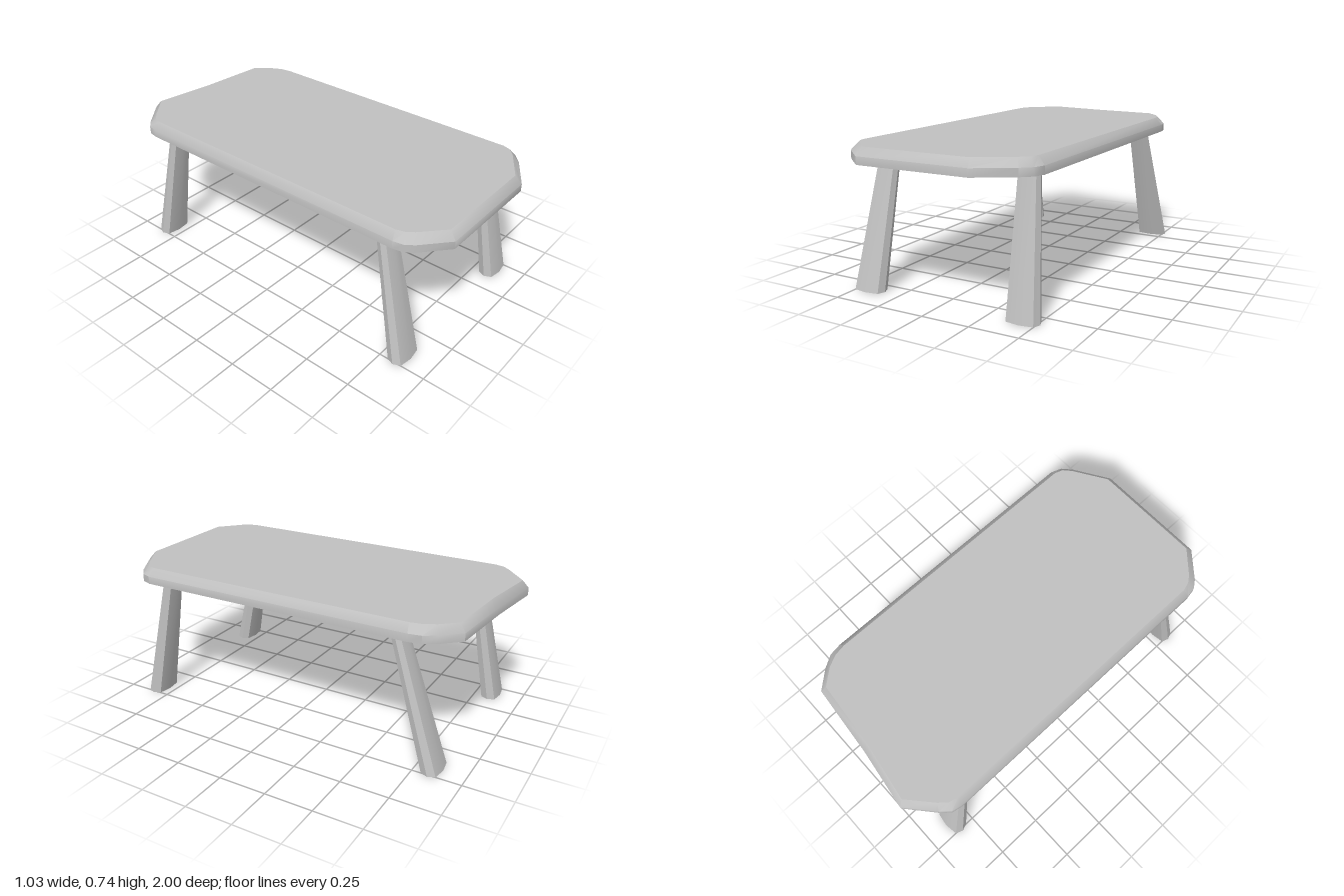
import * as THREE from 'three';
import { toCreasedNormals } from 'three/addons/utils/BufferGeometryUtils.js';

const CREASE = THREE.MathUtils.degToRad(42);

// Solid through a stack of rings (bottom to top), capped at both ends.
function loft(rings) {
  const n = rings[0].length;
  const positions = rings.flat(2);
  const index = [];
  for (let r = 0; r < rings.length - 1; r++) {
    for (let i = 0; i < n; i++) {
      const j = (i + 1) % n;
      const a = r * n + i, b = r * n + j;
      index.push(a, b, b + n, a, b + n, a + n);
    }
  }
  // Cap centres
  const ends = [rings[0], rings[rings.length - 1]];
  for (const ring of ends) {
    for (let k = 0; k < 3; k++) positions.push(ring.reduce((s, p) => s + p[k], 0) / n);
  }
  const bottom = rings.length * n, top = bottom + 1, last = (rings.length - 1) * n;
  for (let i = 0; i < n; i++) {
    const j = (i + 1) % n;
    index.push(bottom, j, i, top, last + i, last + j);
  }
  const geometry = new THREE.BufferGeometry();
  geometry.setAttribute('position', new THREE.Float32BufferAttribute(positions, 3));
  geometry.setIndex(index);
  return toCreasedNormals(geometry, CREASE);
}

export function createModel() {
  const model = new THREE.Group();
  model.name = 'lowTable';
  const grey = new THREE.MeshStandardMaterial({ color: 0xc0c0c0 });
  grey.name = 'plain grey';

  const add = (name, rings) => {
    const mesh = new THREE.Mesh(loft(rings), grey);
    mesh.name = name;
    model.add(mesh);
  };

  // Table top: irregular outline [x, z] and its inset copy above the bevel
  const outer = [
    [-0.34, 1], [0.26, 1], [0.44, 0.89], [0.49, 0.845], [0.51, 0.79],
    [0.51, -0.70], [0.5, -0.765], [0.46, -0.83], [0.38, -0.92],
    [0, -0.955], [-0.32, -1], [-0.46, -0.88], [-0.5, -0.835], [-0.51, -0.78],
    [-0.51, 0.79], [-0.5, 0.845], [-0.47, 0.885],
  ];
  const inner = [
    [-0.325, 0.965], [0.25, 0.965], [0.42, 0.86], [0.46, 0.825], [0.475, 0.78],
    [0.475, -0.69], [0.465, -0.75], [0.435, -0.81], [0.365, -0.89],
    [0, -0.922], [-0.305, -0.97], [-0.43, -0.86], [-0.465, -0.82], [-0.478, -0.77],
    [-0.478, 0.78], [-0.465, 0.825], [-0.44, 0.86],
  ];
  const at = (outline, y) => outline.map(([x, z]) => [x, y, z]);
  add('tableTop', [at(outer, 0.66), at(outer, 0.7), at(inner, 0.74)]);

  // Splayed legs: flattened section, wider at the foot
  const section = [
    [-0.82, 0.78], [0, 1], [0.82, 0.78], [1, 0],
    [0.82, -0.78], [0, -1], [-0.82, -0.78], [-1, 0],
  ];
  const legRing = (cx, y, cz, rx, rz) => section.map(([x, z]) => [cx + x * rx, y, cz + z * rz]);
  const legs = [
    ['frontLeftLeg', 1, 1, 0.718],
    ['frontRightLeg', -1, 1, 0.68],
    ['backLeftLeg', 1, -1, 0.61],
    ['backRightLeg', -1, -1, 0.71],
  ];
  for (const [name, sx, sz, topZ] of legs) {
    add(name, [
      legRing(sx * 0.43, 0, sz * 0.834, 0.085, 0.048),
      legRing(sx * 0.4, 0.665, sz * topZ, 0.055, 0.032),
    ]);
  }
  return model;
}
